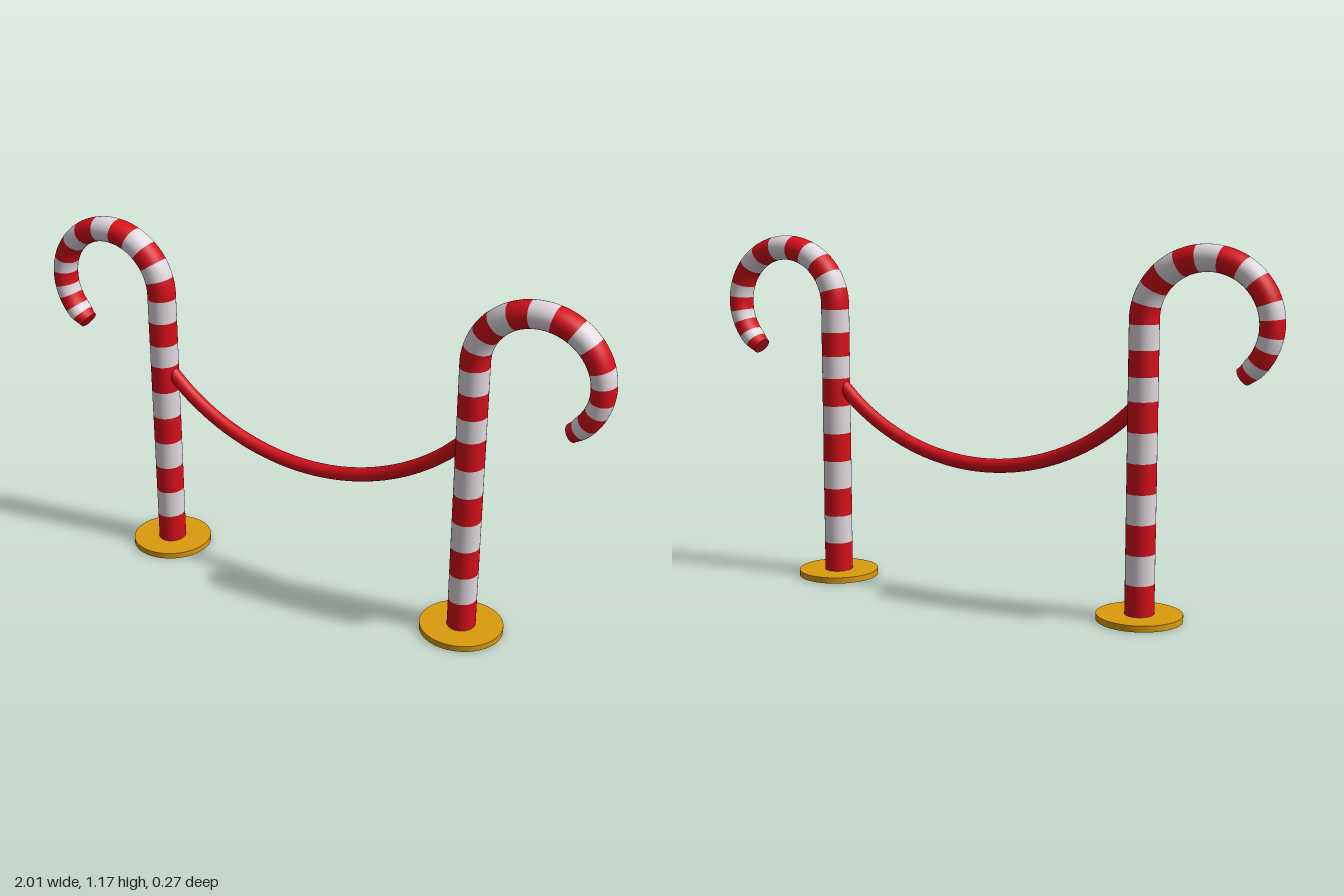
import * as THREE from 'three';

const POST_X = 0.567, HOOK_X = 0.767, HOOK_Y = 0.937, RX = 0.2, RY = 0.19;
const BOTTOM = 0.015, TIP = -55;
const red = new THREE.MeshStandardMaterial({ color: 0xd80f1a });
const white = new THREE.MeshStandardMaterial({ color: 0xe2dae0 });
const gold = new THREE.MeshStandardMaterial({ color: 0xdc9c0c });

// Centre line of the cane: s < 0 is height below the bend, s >= 0 is degrees around the hook.
function station(s) {
  if (s < 0) {
    return { x: POST_X, y: HOOK_Y + s, nx: -1, ny: 0, depth: 0.05, thick: 0.046 };
  }
  const a = THREE.MathUtils.degToRad(180 - s);
  const k = s / (180 - TIP);
  const end = THREE.MathUtils.smoothstep(k, 0.94, 1);
  return {
    x: HOOK_X + RX * Math.cos(a), y: HOOK_Y + RY * Math.sin(a),
    nx: Math.cos(a), ny: Math.sin(a),
    depth: 0.05 - 0.004 * k - 0.012 * end,
    thick: 0.046 - 0.012 * k - 0.005 * end,
  };
}

// Sweeps an oval section along the centre line between two stations.
function stripe(s0, s1) {
  const rows = s1 <= 0 ? 1 : 6, sides = 32;
  const geo = new THREE.PlaneGeometry(1, 1, sides, rows);
  const pos = geo.attributes.position, nor = geo.attributes.normal;
  for (let j = 0, i = 0; j <= rows; j++) {
    const p = station(s1 + (s0 - s1) * j / rows);
    for (let k = 0; k <= sides; k++, i++) {
      const t = k / sides * Math.PI * 2, c = Math.cos(t), d = -Math.sin(t);
      pos.setXYZ(i, p.x + p.nx * c * p.thick, p.y + p.ny * c * p.thick, -d * p.depth);
      const n = new THREE.Vector3(p.nx * c / p.thick, p.ny * c / p.thick, -d / p.depth).normalize();
      nor.setXYZ(i, n.x, n.y, n.z);
    }
  }
  return geo;
}

function createCane() {
  const cane = new THREE.Group();
  cane.name = 'candyCane';
  // Heights, then hook angles, where the colour changes
  const heights = [BOTTOM, 0.118, 0.213, 0.309, 0.404, 0.5, 0.595, 0.69, 0.765, 0.846, 0.924];
  const angles = [165, 149, 133, 116, 98, 78, 58, 41, 19, 5, -10, -22, -36, -46, TIP];
  const cuts = [...heights.map(h => h - HOOK_Y), ...angles.map(a => 180 - a)];
  for (let i = 0; i < cuts.length - 1; i++) {
    const material = i % 2 ? white : red;
    // The stripe crossing the bend is split where the post turns into the hook
    const parts = cuts[i] < 0 && cuts[i + 1] > 0
      ? [[cuts[i], -1e-6], [0, cuts[i + 1]]] : [[cuts[i], cuts[i + 1]]];
    for (const [a, b] of parts) {
      const mesh = new THREE.Mesh(stripe(a, b), material);
      mesh.name = material === red ? 'redStripe' : 'whiteStripe';
      cane.add(mesh);
    }
  }

  // Flat oval end of the hook
  const end = station(180 - TIP);
  const cap = new THREE.Mesh(new THREE.CircleGeometry(1, 32), red);
  cap.name = 'hookEnd';
  cap.scale.set(end.depth, end.thick, 1);
  const out = new THREE.Vector3(end.ny, -end.nx, 0);
  const side = new THREE.Vector3(end.nx, end.ny, 0);
  const across = new THREE.Vector3().crossVectors(side, out);
  cap.quaternion.setFromRotationMatrix(new THREE.Matrix4().makeBasis(across, side, out));
  cap.position.set(end.x, end.y, 0);
  cane.add(cap);

  // Round foot plate
  const base = new THREE.Mesh(new THREE.CylinderGeometry(0.136, 0.136, 0.02, 48), gold);
  base.name = 'base';
  base.position.set(POST_X, 0.01, 0);
  cane.add(base);
  return cane;
}

export function createModel() {
  const model = new THREE.Group();
  model.name = 'candyCaneBarrier';

  // Half-turning about y mirrors the symmetric cane to the other side
  const left = createCane();
  left.name = 'leftCane';
  const right = createCane();
  right.name = 'rightCane';
  right.rotation.y = Math.PI;
  model.add(left, right);

  // Sagging rope along a circular arc
  const R = 0.757, points = [];
  for (let i = 0; i <= 16; i++) {
    const x = -0.545 + 1.09 * i / 16;
    points.push(new THREE.Vector3(x, 0.438 + R - Math.sqrt(R * R - x * x), 0));
  }
  const rope = new THREE.Mesh(
    new THREE.TubeGeometry(new THREE.CatmullRomCurve3(points), 64, 0.023, 20), red);
  rope.name = 'rope';
  model.add(rope);
  return model;
}
